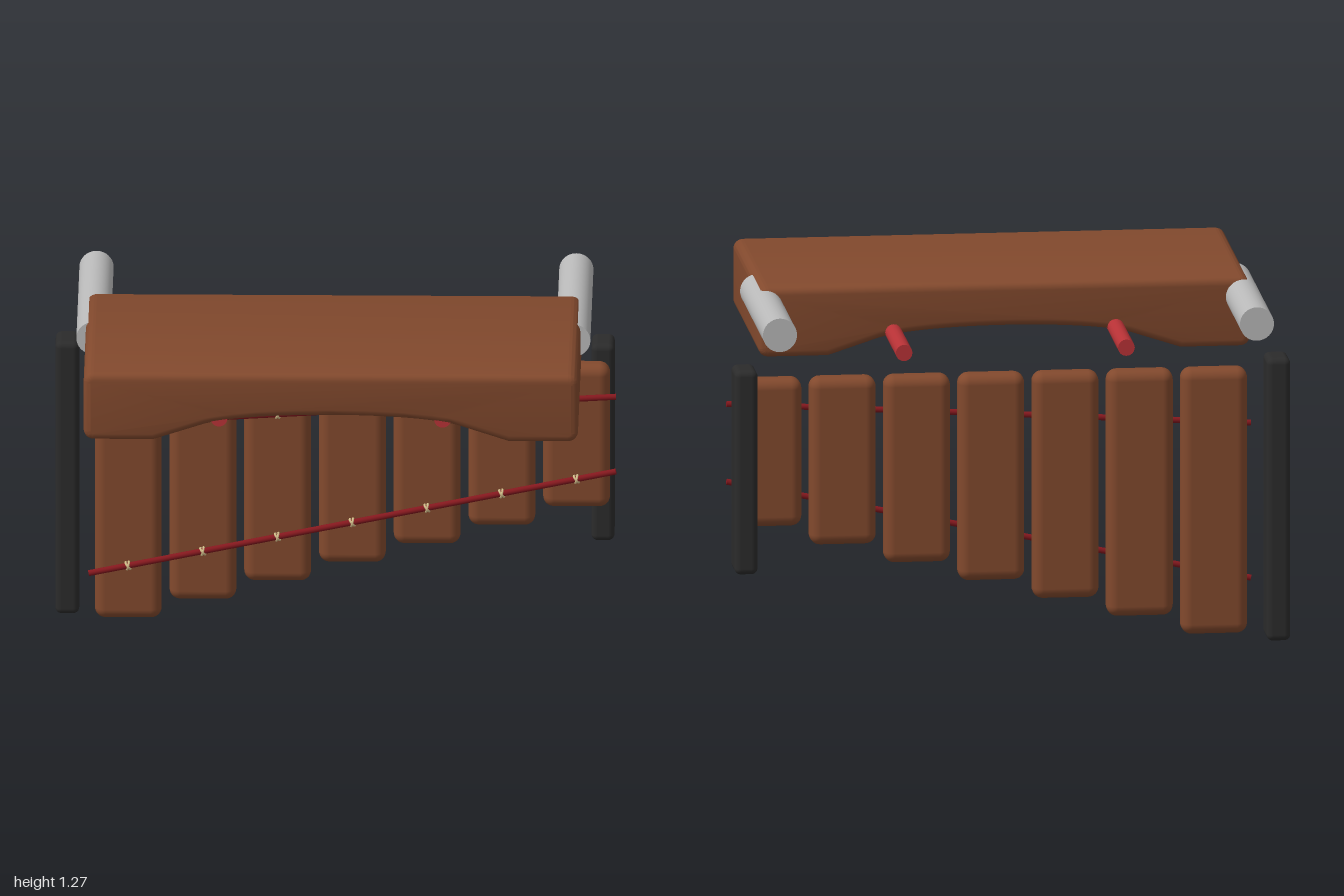
import * as THREE from 'three';
import { toCreasedNormals } from 'three/addons/utils/BufferGeometryUtils.js';
import { RoundedBoxGeometry } from 'three/addons/geometries/RoundedBoxGeometry.js';

const material = (name, color) => {
  const m = new THREE.MeshStandardMaterial({ color });
  m.name = name;
  return m;
};

export function createModel() {
  const wood = material('brown wood', 0x82492d);
  const steel = material('silver metal', 0xb9b9b9);
  const black = material('black', 0x2b2b2b);
  const red = material('red', 0xb83236);
  const cordRed = material('dark red cord', 0x85181e);
  const tan = material('tan twine', 0xd6c08c);

  const model = new THREE.Group();
  const add = (name, geometry, mat, x = 0, y = 0, z = 0) => {
    const mesh = new THREE.Mesh(geometry, mat);
    mesh.name = name;
    mesh.position.set(x, y, z);
    model.add(mesh);
    return mesh;
  };

  // Rounded box given by its limits on each axis
  const slab = (name, mat, [x0, x1], [y0, y1], [z0, z1], radius) =>
    add(name, new RoundedBoxGeometry(x1 - x0, y1 - y0, z1 - z0, 4, radius), mat,
      (x0 + x1) / 2, (y0 + y1) / 2, (z0 + z1) / 2);

  // Rod lying along z
  const rod = (name, mat, x, y, z0, z1, radius, sides) => {
    const g = new THREE.CylinderGeometry(radius, radius, z1 - z0, sides).rotateX(Math.PI / 2);
    return add(name, g, mat, x, y, (z0 + z1) / 2);
  };

  // Thick top block with an arched underside; the bevel grows the outline by b
  const b = 0.025, r = 0.012;
  const L = -0.885 + b, R = 0.875 - b, B = 1.018 + b, T = 1.27 - b;
  const outline = new THREE.Shape();
  outline.moveTo(L + r, B);
  outline.lineTo(-0.64, B);
  outline.lineTo(-0.46, 1.077 + b);
  outline.bezierCurveTo(-0.29, 1.145 + b - 0.02, 0.28, 1.145 + b - 0.02, 0.45, 1.077 + b);
  outline.lineTo(0.63, B);
  outline.lineTo(R - r, B);
  outline.quadraticCurveTo(R, B, R, B + r);
  outline.lineTo(R, T - r);
  outline.quadraticCurveTo(R, T, R - r, T);
  outline.lineTo(L + r, T);
  outline.quadraticCurveTo(L, T, L, T - r);
  outline.lineTo(L, B + r);
  outline.quadraticCurveTo(L, B, L + r, B);
  const block = new THREE.ExtrudeGeometry(outline, {
    depth: 0.855 - 2 * b, bevelSize: b, bevelThickness: b, bevelSegments: 4, curveSegments: 20,
  });
  add('topBlock', toCreasedNormals(block, 0.6), wood, 0, 0, -0.2 + b);

  // Metal tubes at the sides and red rods running under the block
  rod('rightTube', steel, -0.858, 1.2, -0.655, 0.088, 0.061, 32);
  rod('leftTube', steel, 0.85, 1.2, -0.655, 0.088, 0.061, 32);
  rod('rightRod', red, -0.403, 1.1, -0.542, 0.645, 0.03, 16);
  rod('leftRod', red, 0.393, 1.1, -0.542, 0.645, 0.03, 16);

  // Seven hanging bars, shorter towards the model's left
  const barX = i => -0.74 + 0.266 * i;
  for (let i = 0; i < 7; i++) {
    const x = barX(i);
    slab('bar' + (i + 1), wood, [x - 0.119, x + 0.119], [0.005 + 0.0715 * i, 0.972],
      [-0.362, -0.264], 0.038);
  }

  // Black end posts
  slab('rightPost', black, [-1, -0.915], [0, 1.03], [-0.47, -0.33], 0.022);
  slab('leftPost', black, [0.908, 0.99], [0.287, 1.03], [-0.47, -0.33], 0.022);

  // Two sloping cords, tied to each bar with crossed loops of twine
  const cordZ = -0.251;
  const cords = [['upperCord', 0.752, 0.865], ['lowerCord', 0.187, 0.582]];
  for (const [name, y0, y1] of cords) {
    const x0 = -0.88, x1 = 0.997;
    const angle = Math.atan2(y1 - y0, x1 - x0);
    const length = Math.hypot(x1 - x0, y1 - y0);
    const g = new THREE.CylinderGeometry(0.011, 0.011, length, 12).rotateZ(angle - Math.PI / 2);
    add(name, g, cordRed, (x0 + x1) / 2, (y0 + y1) / 2, cordZ);
    for (let i = 0; i < 7; i++) {
      const x = barX(i);
      const y = y0 + (x - x0) * Math.tan(angle);
      for (const tilt of [-0.45, 0.45]) {
        const loop = new THREE.TorusGeometry(0.0145, 0.0042, 6, 16)
          .rotateY(Math.PI / 2).rotateZ(angle + tilt);
        add(name + 'Tie' + (i + 1), loop, tan, x, y, cordZ);
      }
    }
  }

  return model;
}
